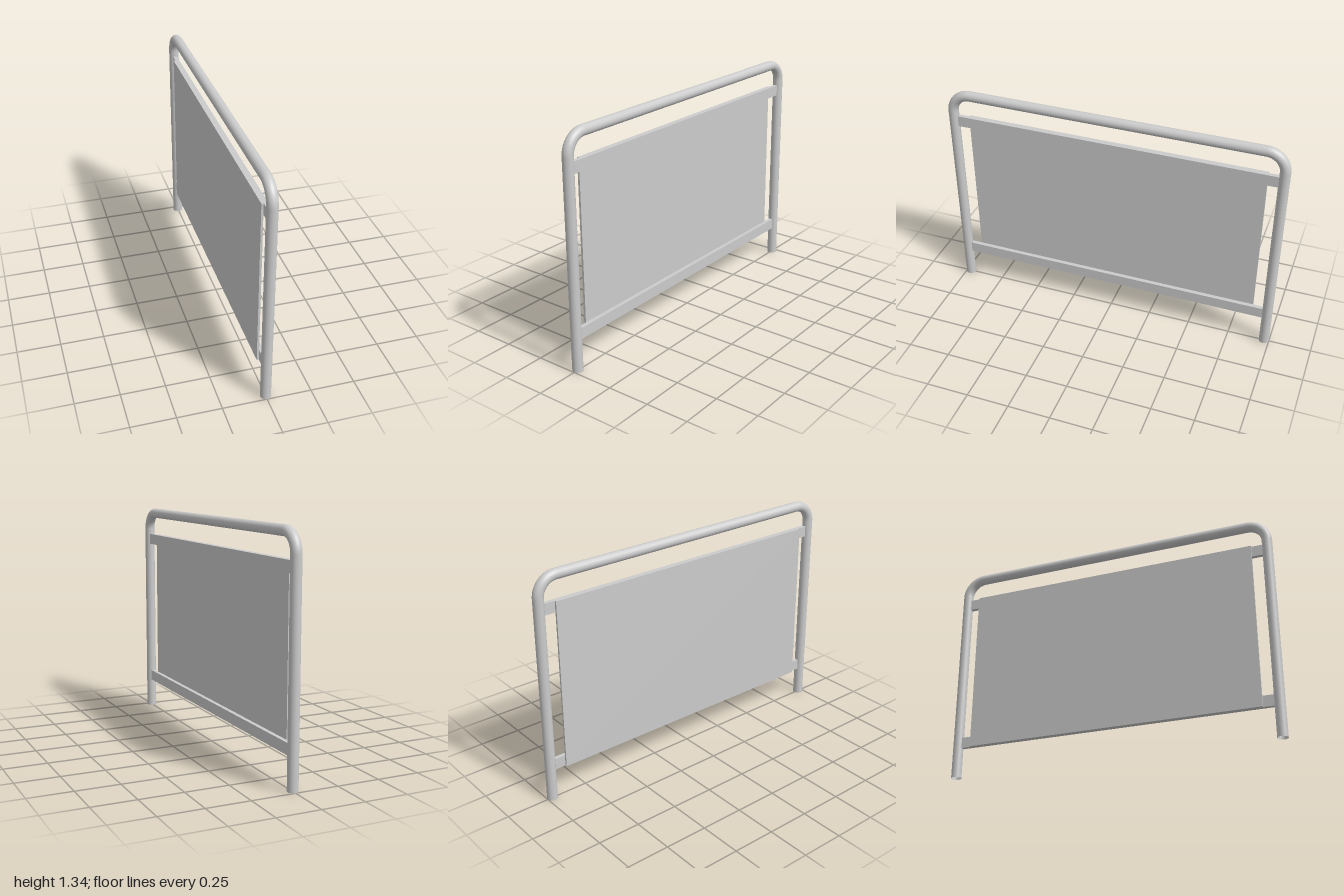
import * as THREE from 'three';

export function createModel() {
  const group = new THREE.Group();
  const grey = new THREE.MeshStandardMaterial({ color: 0xcccccc });
  const openGrey = new THREE.MeshStandardMaterial({ color: 0xcccccc, side: THREE.DoubleSide });
  const R = 0.03, Z = 0.97, TOP = 1.31, BEND = 0.11;

  function add(name, geometry, x = 0, y = 0, z = 0, material = grey) {
    const mesh = new THREE.Mesh(geometry, material);
    mesh.name = name;
    mesh.position.set(x, y, z);
    group.add(mesh);
    return mesh;
  }

  // Quarter-circle path for the rounded corner of the pipe
  class Bend extends THREE.Curve {
    constructor(side) { super(); this.side = side; }
    getPoint(t, target = new THREE.Vector3()) {
      const a = t * Math.PI / 2;
      return target.set(0, TOP - BEND + BEND * Math.sin(a),
        this.side * (Z - BEND + BEND * Math.cos(a)));
    }
  }

  // Bent pipe frame: two open-ended posts, two corners and the top bar
  const postHeight = TOP - BEND;
  for (const side of [1, -1]) {
    const label = side > 0 ? 'front' : 'back';
    add(label + 'Post', new THREE.CylinderGeometry(R, R, postHeight, 32, 1, true),
      0, postHeight / 2, side * Z, openGrey);
    add(label + 'Corner', new THREE.TubeGeometry(new Bend(side), 16, R, 32));
  }
  const bar = add('topBar', new THREE.CylinderGeometry(R, R, 2 * (Z - BEND), 32, 1, true), 0, TOP, 0);
  bar.rotation.x = Math.PI / 2;

  // Flat rails between the posts
  const railHeight = 0.065, low = 0.18, high = 1.17;
  const rail = new THREE.BoxGeometry(0.024, railHeight, 1.884);
  add('lowerRail', rail, 0, low + railHeight / 2);
  add('upperRail', rail, 0, high - railHeight / 2);

  // Infill sheet fixed to the right-hand side of the rails
  add('panel', new THREE.BoxGeometry(0.012, high - low, 1.76), -0.018, (low + high) / 2);

  return group;
}
